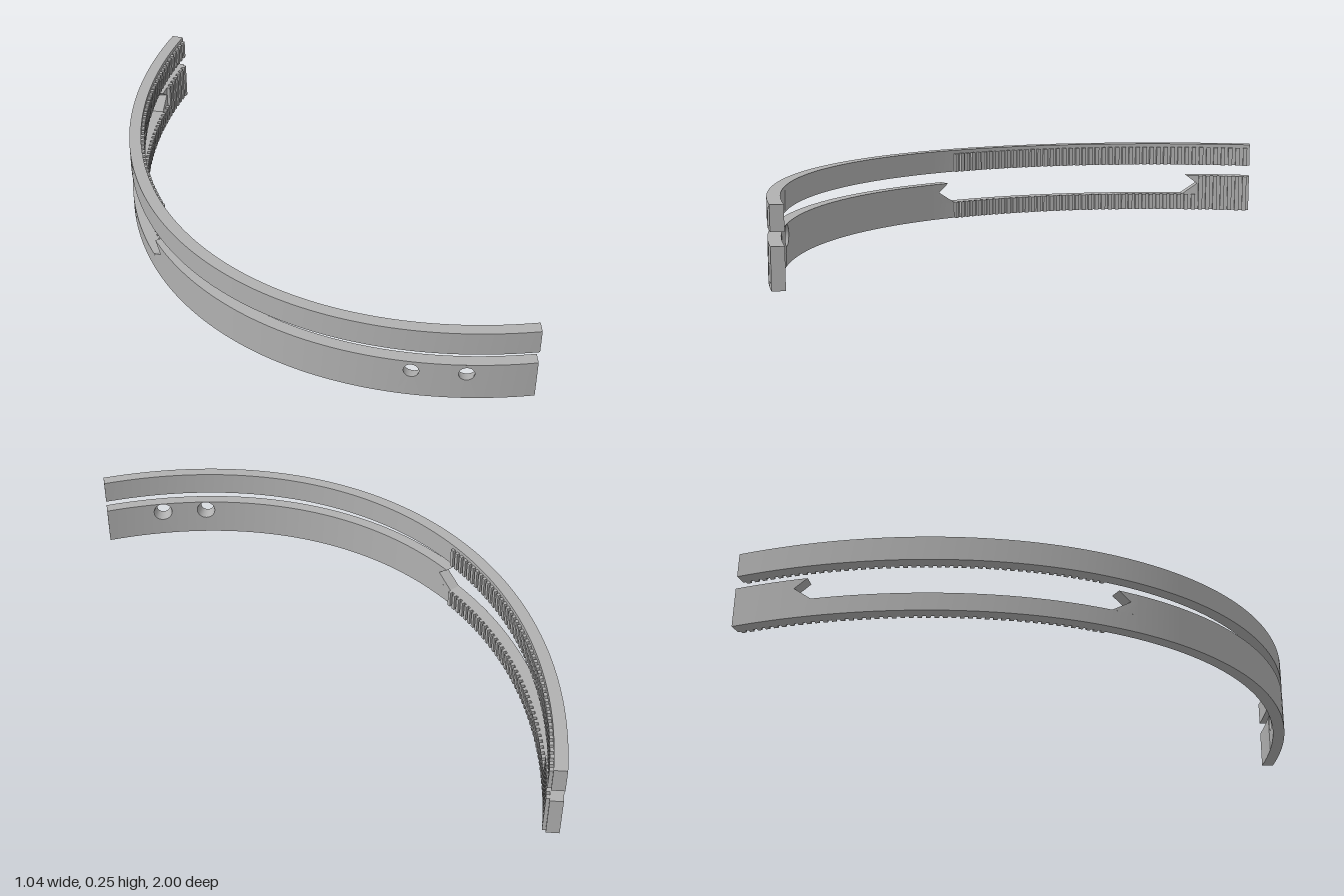
import * as THREE from 'three';
import { mergeGeometries } from 'three/addons/utils/BufferGeometryUtils.js';

const RAD = Math.PI / 180;
// Elliptical arc: centre, radii, wall thickness, end angles (degrees)
const CX = 1.122, CZ = 0.2, A = 1.644, B = 1.297, WALL = 0.04;
const FAR = -67.7, NEAR = 38.1;
const lerp = THREE.MathUtils.lerp;

// Angle t, depth r inwards from the outer face, height y
function place(t, r, y) {
  return [CX - (A - r) * Math.cos(t * RAD), y, CZ + (B - r) * Math.sin(t * RAD)];
}

// Surface patch: f(u, v) gives [t, r, y]
function patch(f, nu, nv, flip = false) {
  const g = new THREE.PlaneGeometry(1, 1, nu, nv);
  const p = g.attributes.position;
  for (let i = 0; i < p.count; i++) {
    const u = p.getX(i) + 0.5, v = p.getY(i) + 0.5;
    p.setXYZ(i, ...place(...f(flip ? 1 - u : u, v)));
  }
  g.computeVertexNormals();
  return g;
}

// Curved block; bot and top are the angle ranges at its lower and upper edges.
// faces: o outer, i inner, t top, b bottom, n near end, f far end
function block(out, bot, top, r0, r1, y0, y1, faces) {
  const n = Math.max(1, Math.ceil((bot[1] - bot[0]) / 1.2));
  const t = (u, v) => lerp(lerp(bot[0], top[0], v), lerp(bot[1], top[1], v), u);
  const y = (v) => lerp(y0, y1, v);
  const r = (v) => lerp(r0, r1, v);
  const make = {
    o: () => patch((u, v) => [t(u, v), r0, y(v)], n, 1),
    i: () => patch((u, v) => [t(u, v), r1, y(v)], n, 1, true),
    t: () => patch((u, v) => [t(u, 1), r(v), y1], n, 1),
    b: () => patch((u, v) => [t(u, 0), r(v), y0], n, 1, true),
    n: () => patch((u, v) => [t(1, v), r(u), y(v)], 1, 1),
    f: () => patch((u, v) => [t(0, v), r(u), y(v)], 1, 1, true),
  };
  for (const k of faces) out.push(make[k]());
}

// Full-height panel with a countersunk hole
function holePanel(out, tc, half, y1, yc, rIn, rOut) {
  const arc = 1.35 * RAD; // length per degree
  const w = half * arc;
  const corners = [[w, -yc], [w, y1 - yc], [-w, y1 - yc], [-w, -yc]];
  const edge = (u) => {
    const s = (u % 1) * 4, k = Math.floor(s), a = corners[k], b = corners[(k + 1) % 4];
    return [lerp(a[0], b[0], s - k), lerp(a[1], b[1], s - k)];
  };
  const rim = (u, rad) => {
    const [x, y] = edge(u), l = Math.hypot(x, y);
    return [x / l * rad, y / l * rad];
  };
  const ring = (rad, r, flip) => patch((u, v) => {
    const e = edge(u), c = rim(u, rad);
    return [tc + lerp(e[0], c[0], v) / arc, r, yc + lerp(e[1], c[1], v)];
  }, 48, 1, flip);
  out.push(ring(rOut, 0, false), ring(rIn, WALL, true));
  out.push(patch((u, v) => {
    const c = rim(u, lerp(rOut, rIn, v));
    return [tc + c[0] / arc, v * WALL, yc + c[1]];
  }, 48, 1));
  const span = [tc - half, tc + half];
  block(out, span, span, 0, WALL, 0, y1, 'tb');
}

// Row of ridges on the inner face, one per degree
function ridges(y0, heightAt) {
  const out = [];
  for (let i = 0; i < 45; i++) {
    const t = -22.8 - i, span = [t - 0.55, t];
    if (span[0] < FAR) span[0] = FAR;
    block(out, span, span, WALL, WALL + 0.011, y0, heightAt(t), 'itbnf');
  }
  return mergeGeometries(out);
}

export function createModel() {
  const model = new THREE.Group();
  const grey = new THREE.MeshStandardMaterial({ color: 0xb0b0b0, side: THREE.DoubleSide });
  grey.name = 'grey';
  const add = (name, geometry) => {
    const m = new THREE.Mesh(geometry, grey);
    m.name = name;
    model.add(m);
  };

  // Upper band
  const upper = [];
  block(upper, [FAR, NEAR], [FAR, NEAR], 0, WALL, 0.168, 0.245, 'oitbnf');
  add('upperBand', mergeGeometries(upper));
  add('upperRidges', ridges(0.168, () => 0.233));

  // Lower band: solid stretches and two hole panels
  const H = 0.127, SILL = 0.057, APEX = 0.097;
  const lower = [];
  const solid = (a, b, faces) => block(lower, [a, b], [a, b], 0, WALL, 0, H, faces);
  const holes = [22.95, 29.7], half = 1.7;
  solid(FAR, -62, 'oitbf');
  solid(-19, holes[0] - half, 'oitb');
  solid(holes[0] + half, holes[1] - half, 'oitb');
  solid(holes[1] + half, NEAR, 'oitbn');
  for (const t of holes) holePanel(lower, t, half, H, 0.093, 0.033, 0.023);

  // Strip under the open window, and its sill
  block(lower, [-62, -19], [-62, -19], 0, WALL, 0, SILL, 'oib');
  block(lower, [-58.55, -22.75], [-58.55, -22.75], 0, WALL, 0, SILL, 't');

  // Pointed notches at both ends of the window
  block(lower, [-22.75, -19], [-20, -19], 0, WALL, SILL, APEX, 'oif');
  block(lower, [-20, -19], [-21.7, -19], 0, WALL, APEX, H, 'oitf');
  block(lower, [-62, -58.55], [-62, -60.6], 0, WALL, SILL, APEX, 'oin');
  block(lower, [-62, -60.6], [-62, -59.1], 0, WALL, APEX, H, 'oitn');
  add('lowerBand', mergeGeometries(lower));
  add('lowerRidges', ridges(0, (t) => (t < -60.6 ? H : SILL)));

  return model;
}
